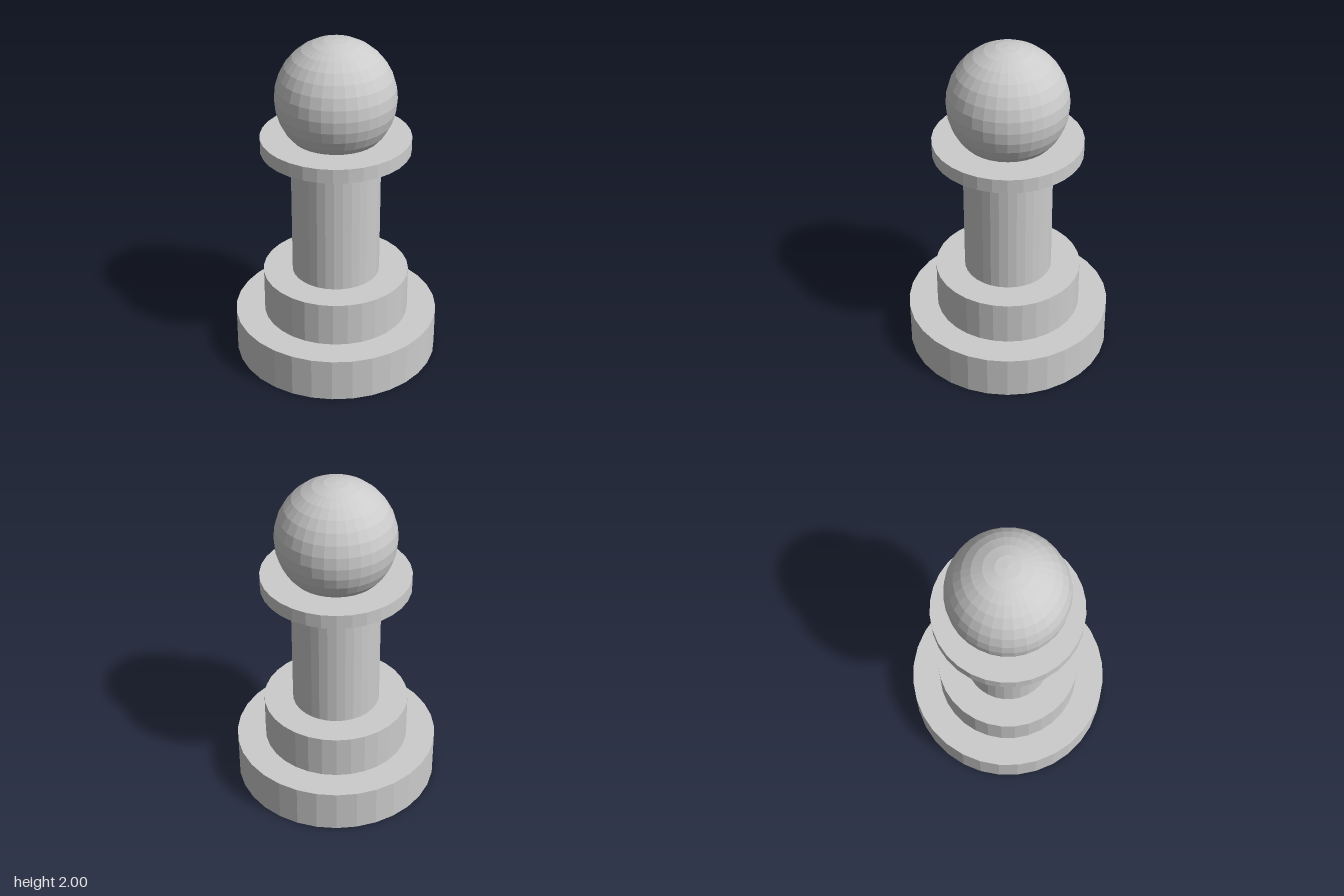
import * as THREE from 'three';

const SIDES = 32;

export function createModel() {
  const group = new THREE.Group();
  const material = new THREE.MeshStandardMaterial({ color: 0xcccccc, flatShading: true });

  const add = (name, geometry, y) => {
    const mesh = new THREE.Mesh(geometry, material);
    mesh.name = name;
    mesh.position.y = y;
    group.add(mesh);
  };

  // Stacked discs and column: name, radius, bottom, top
  const tiers = [
    ['base', 0.612, 0, 0.265],
    ['step', 0.437, 0.265, 0.535],
    ['shaft', 0.262, 0.535, 1.332],
    ['collar', 0.437, 1.332, 1.417],
  ];
  for (const [name, radius, bottom, top] of tiers) {
    add(name, new THREE.CylinderGeometry(radius, radius, top - bottom, SIDES), (bottom + top) / 2);
  }

  // Ball head, sunk into the collar
  const headRadius = 0.349;
  add('head', new THREE.SphereGeometry(headRadius, SIDES, SIDES / 2), 2 - headRadius);

  return group;
}
